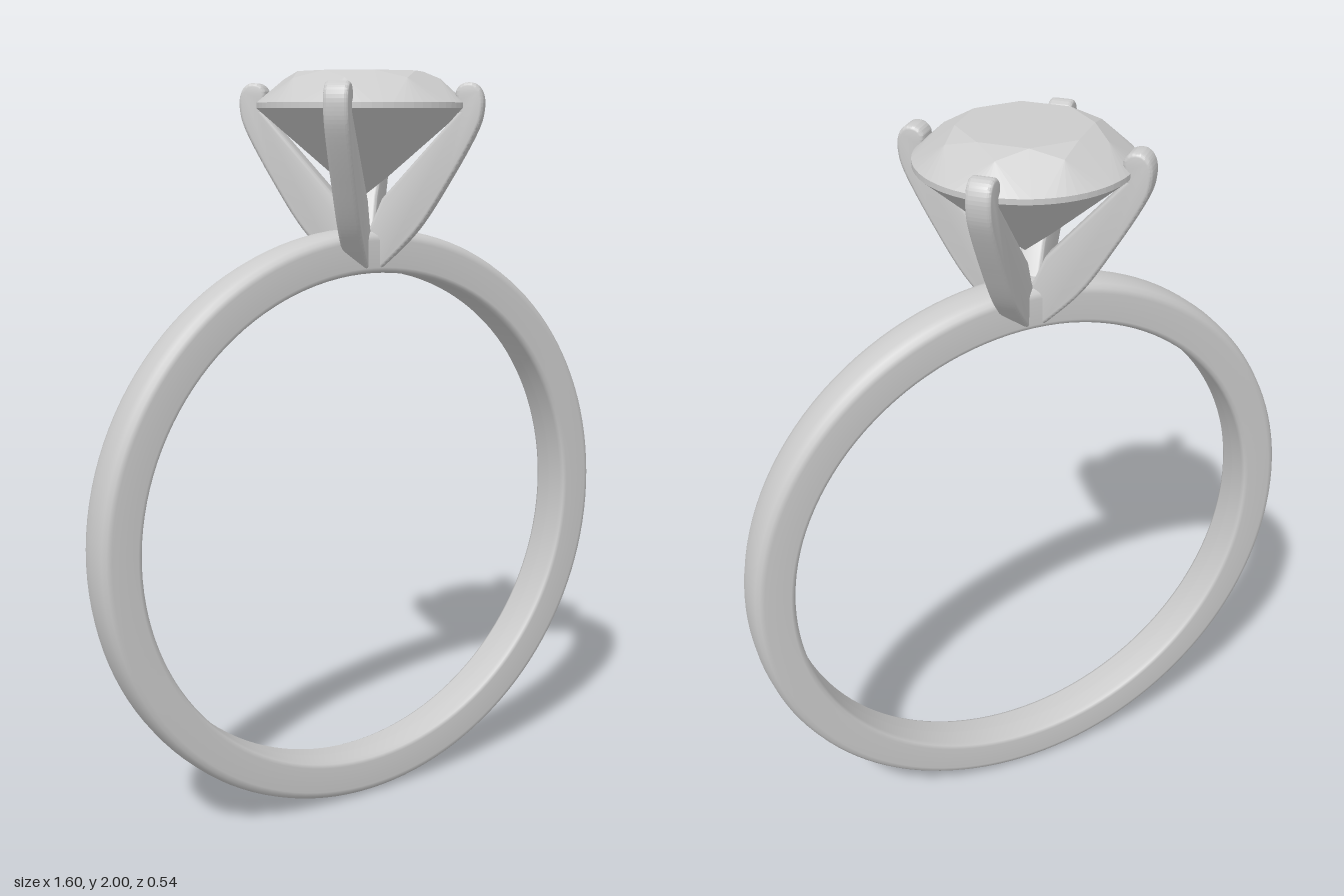
import * as THREE from 'three';
import { toCreasedNormals } from 'three/addons/utils/BufferGeometryUtils.js';

const metal = new THREE.MeshStandardMaterial({ color: 0xcccccc });
const stone = new THREE.MeshStandardMaterial({ color: 0xcccccc, flatShading: true });

// Band: softly rounded, slightly domed section swept round the finger axis
function makeBand() {
  const half = [[0.8, 0], [0.798, 0.03], [0.792, 0.048], [0.783, 0.058], [0.77, 0.062],
    [0.7, 0.062], [0.69, 0.058], [0.685, 0.048], [0.684, 0]];
  const upper = half.map(([r, z]) => new THREE.Vector2(r, z));
  const lower = half.slice(0, -1).reverse().map(([r, z]) => new THREE.Vector2(r, -z));
  const profile = [new THREE.Vector2(0.684, 0),
    ...half.slice(1, -1).reverse().map(([r, z]) => new THREE.Vector2(r, -z)), ...upper];
  const geo = new THREE.LatheGeometry(profile, 128);
  geo.rotateX(Math.PI / 2);
  const band = new THREE.Mesh(geo, metal);
  band.name = 'band';
  band.position.y = 0.802;
  return band;
}

// Round brilliant: table, stars, kites and halves above; mains and halves below
function makeGem() {
  const pos = [];
  const tri = (...pts) => pts.forEach(p => pos.push(p.x, p.y, p.z));
  const at = (r, y, a) => new THREE.Vector3(r * Math.sin(a), y, r * Math.cos(a));
  const R = 0.27, top = 1.922, bottom = 1.908, step = Math.PI / 8, n = 4;
  const table = new THREE.Vector3(0, 2, 0), culet = new THREE.Vector3(0, 1.68, 0);
  for (let i = 0; i < 8; i++) {
    const a = i * 2 * step, b = a + step, c = b + step;
    const tA = at(0.165, 2, a - step), tB = at(0.165, 2, b);
    const mA = at(0.205, 1.981, a), mC = at(0.205, 1.981, c);
    const pA = at(0.07, 1.734, a), pC = at(0.07, 1.734, c);
    const gT = at(R, top, b), gB = at(R, bottom, b);
    tri(table, tA, tB);
    tri(mA, tB, tA);
    tri(tB, mA, gT);
    tri(tB, gT, mC);
    tri(culet, gB, pA);
    tri(culet, pC, gB);
    // Half facets fan out to a round girdle
    for (let k = -n; k < n; k++) {
      const u = a + (k / n) * step, v = a + ((k + 1) / n) * step;
      const u1 = at(R, top, u), v1 = at(R, top, v), u0 = at(R, bottom, u), v0 = at(R, bottom, v);
      tri(mA, u1, v1);
      tri(u1, u0, v0);
      tri(u1, v0, v1);
      tri(pA, v0, u0);
    }
  }
  const geo = new THREE.BufferGeometry();
  geo.setAttribute('position', new THREE.Float32BufferAttribute(pos, 3));
  geo.computeVertexNormals();
  const gem = new THREE.Mesh(geo, stone);
  gem.name = 'gem';
  return gem;
}

// Prongs: tapering blades with rounded tips, set on the four diagonals
function makeProngs() {
  const shape = new THREE.Shape();
  shape.moveTo(0, 1.497);
  shape.lineTo(0.058, 1.497);
  shape.splineThru([[0.155, 1.6], [0.238, 1.73], [0.303, 1.85], [0.319, 1.91], [0.313, 1.95],
    [0.292, 1.97], [0.265, 1.968], [0.249, 1.95], [0.25, 1.925]].map(p => new THREE.Vector2(...p)));
  shape.lineTo(0.258, 1.9);
  shape.lineTo(0.06, 1.68);
  shape.lineTo(0.03, 1.61);
  shape.lineTo(0, 1.57);
  const bevel = 0.009, width = 0.062;
  let geo = new THREE.ExtrudeGeometry(shape, {
    depth: width - 2 * bevel, curveSegments: 36, bevelEnabled: true,
    bevelThickness: bevel, bevelSize: bevel, bevelOffset: -bevel, bevelSegments: 3,
  });
  geo.translate(0, 0, bevel - width / 2);
  geo = toCreasedNormals(geo, 0.6);
  const prongs = new THREE.Group();
  prongs.name = 'prongs';
  for (let i = 0; i < 4; i++) {
    const prong = new THREE.Mesh(geo, metal);
    prong.name = 'prong' + (i + 1);
    prong.rotation.y = Math.PI / 4 + i * Math.PI / 2;
    prongs.add(prong);
  }
  return prongs;
}

export function createModel() {
  const ring = new THREE.Group();
  ring.name = 'ring';
  ring.add(makeBand(), makeGem(), makeProngs());
  return ring;
}
